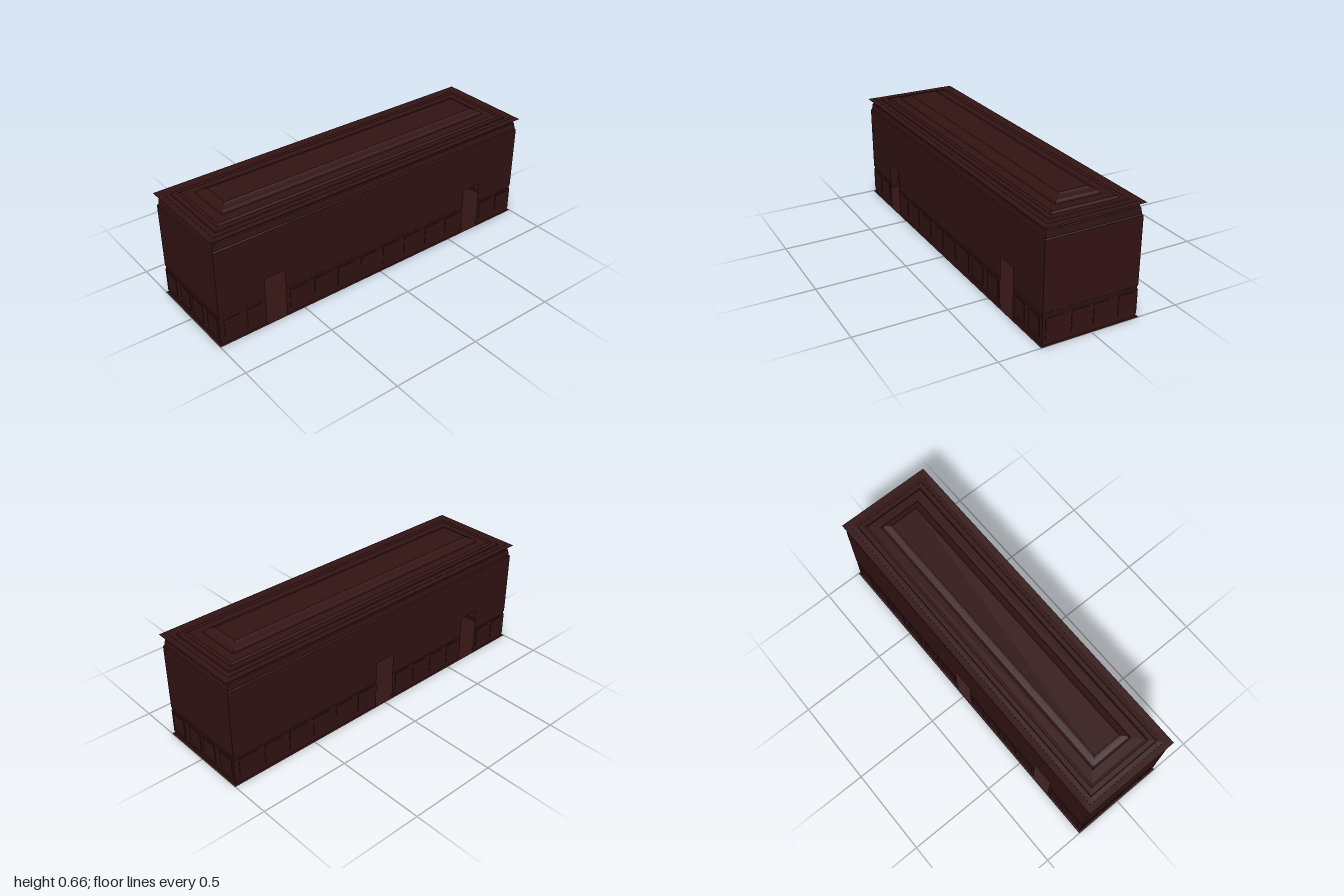
import * as THREE from 'three';

const LONG = 0.725; // extra half length along z compared with x
const DOOR_TOP = 0.28;
const DOOR_HALF = 0.06;

const material = new THREE.MeshStandardMaterial({ color: 0x331313, side: THREE.DoubleSide });

// Profiles are [half width, height] pairs, bottom to top
const WALL = [
  [0.263, 0], [0.263, 0.015], [0.266, 0.017], [0.266, 0.153], [0.263, 0.156],
  [0.263, 0.169], [0.266, 0.172], [0.266, DOOR_TOP], [0.266, 0.541], [0.26, 0.547],
];
const CORNICE = [
  [0.26, 0.547], [0.26, 0.551], [0.256, 0.58], [0.252, 0.584], [0.252, 0.588],
  [0.245, 0.598], [0.241, 0.608],
];
const ROOF = [
  [0.241, 0.608], [0.216, 0.609], [0.213, 0.614], [0.186, 0.614], [0.183, 0.619],
  [0.176, 0.625], [0.125, 0.625], [0.122, 0.633], [0.115, 0.641], [0.1, 0.646],
  [0.089, 0.651], [0.08, 0.658],
];

// Flat-shaded skin between two matching edge lines
function skin(edgeA, edgeB) {
  const p = [];
  for (let i = 0; i < edgeA.length - 1; i++) {
    const [a, b, c, d] = [edgeA[i], edgeB[i], edgeB[i + 1], edgeA[i + 1]];
    p.push(...a, ...b, ...c, ...a, ...c, ...d);
  }
  const g = new THREE.BufferGeometry();
  g.setAttribute('position', new THREE.Float32BufferAttribute(p, 3));
  g.computeVertexNormals();
  return g;
}

export function createModel() {
  const model = new THREE.Group();

  function add(parent, name, geometry, x = 0, y = 0, z = 0) {
    const mesh = new THREE.Mesh(geometry, material);
    mesh.name = name;
    mesh.position.set(x, y, z);
    parent.add(mesh);
    return mesh;
  }
  function group(name) {
    const g = new THREE.Group();
    g.name = name;
    model.add(g);
    return g;
  }

  // End skin across x, mitred at both corners
  function endSkin(parent, name, profile, s) {
    const edge = (k) => profile.map(([o, y]) => [k * s * o, y, s * (o + LONG)]);
    add(parent, name, skin(edge(-1), edge(1)));
  }
  // Side skin along z; an end given as null is mitred into the corner
  function sideSkin(parent, name, profile, s, z0 = null, z1 = null) {
    const edge = (z, k) => profile.map(([o, y]) => [s * o, y, z === null ? k * (o + LONG) : z]);
    const low = edge(z0, -1), high = edge(z1, 1);
    add(parent, name, s > 0 ? skin(high, low) : skin(low, high));
  }
  // Complete rectangular ring following a profile
  function ring(name, profile) {
    const g = group(name);
    for (const s of [-1, 1]) {
      endSkin(g, name + 'End', profile, s);
      sideSkin(g, name + 'Side', profile, s);
    }
  }
  // Evenly spaced raised panels on a stretch of side wall
  function sidePanels(parent, s, z0, z1) {
    const count = Math.max(2, Math.round((z1 - z0) / 0.15));
    const pitch = (z1 - z0) / count;
    for (let i = 0; i < count; i++) {
      add(parent, 'basePanel', new THREE.BoxGeometry(0.006, 0.108, pitch * 0.7),
        s * 0.266, 0.09, z0 + pitch * (i + 0.5));
    }
  }

  // End walls with four raised base panels each
  for (const s of [-1, 1]) {
    const end = group(s > 0 ? 'frontWall' : 'backWall');
    endSkin(end, 'endWall', WALL, s);
    for (const x of [-0.202, -0.061, 0.061, 0.202]) {
      add(end, 'basePanel', new THREE.BoxGeometry(0.095, 0.108, 0.006), x, 0.09, s * (0.266 + LONG));
    }
  }

  // Long walls, split around the doorways
  const upper = WALL.filter(([, y]) => y >= DOOR_TOP);
  function longWall(name, s, doors) {
    const g = group(name);
    let start = null;
    for (const z of [...doors, null]) {
      const stop = z === null ? null : z - DOOR_HALF;
      sideSkin(g, 'wallSection', WALL, s, start, stop);
      sidePanels(g, s, start === null ? -0.985 : start, stop === null ? 0.985 : stop);
      if (z !== null) {
        start = z + DOOR_HALF;
        sideSkin(g, 'wallAboveDoor', upper, s, stop, start);
      }
    }
  }
  longWall('leftWall', 1, [-0.665, 0.665]);
  longWall('rightWall', -1, [0, 0.665]);

  // Cornice and stepped roof
  ring('cornice', CORNICE);
  ring('roofSteps', ROOF);

  // Thin sheets: floor, overhanging eaves and roof top
  const sheet = (w, l) => new THREE.PlaneGeometry(w, l).rotateX(-Math.PI / 2);
  add(model, 'floor', sheet(0.55, 2), 0, 0, 0);
  add(model, 'eaves', sheet(0.55, 2), 0, 0.607, 0);
  add(model, 'roofTop', sheet(0.16, 2 * (0.08 + LONG)), 0, 0.658, 0);

  return model;
}
